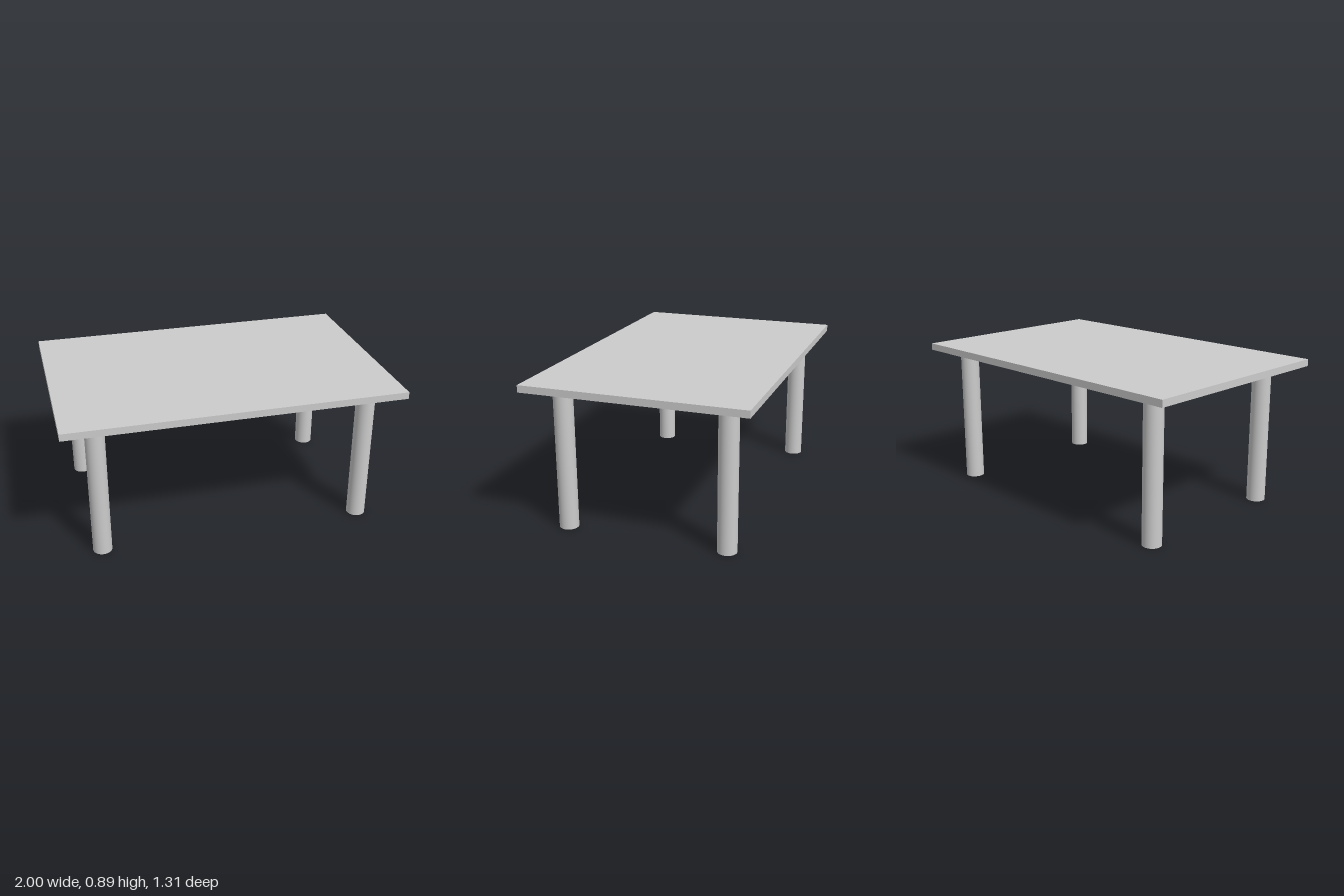
import * as THREE from 'three';

export function createModel() {
  const table = new THREE.Group();
  table.name = 'table';
  const material = new THREE.MeshStandardMaterial({ color: 0xcccccc });
  const height = 0.895, thickness = 0.042;
  const legHeight = height - thickness;

  // Flat rectangular slab
  const top = new THREE.Mesh(new THREE.BoxGeometry(2, thickness, 1.31), material);
  top.name = 'tableTop';
  top.position.y = height - thickness / 2;
  table.add(top);

  // Four round legs, set slightly off centre under the slab
  const legGeometry = new THREE.CylinderGeometry(0.057, 0.057, legHeight, 48);
  for (const [side, x] of [['Right', -0.797], ['Left', 0.816]]) {
    for (const [end, z] of [['front', 0.477], ['back', -0.491]]) {
      const leg = new THREE.Mesh(legGeometry, material);
      leg.name = `${end}${side}Leg`;
      leg.position.set(x, legHeight / 2, z);
      table.add(leg);
    }
  }
  return table;
}
